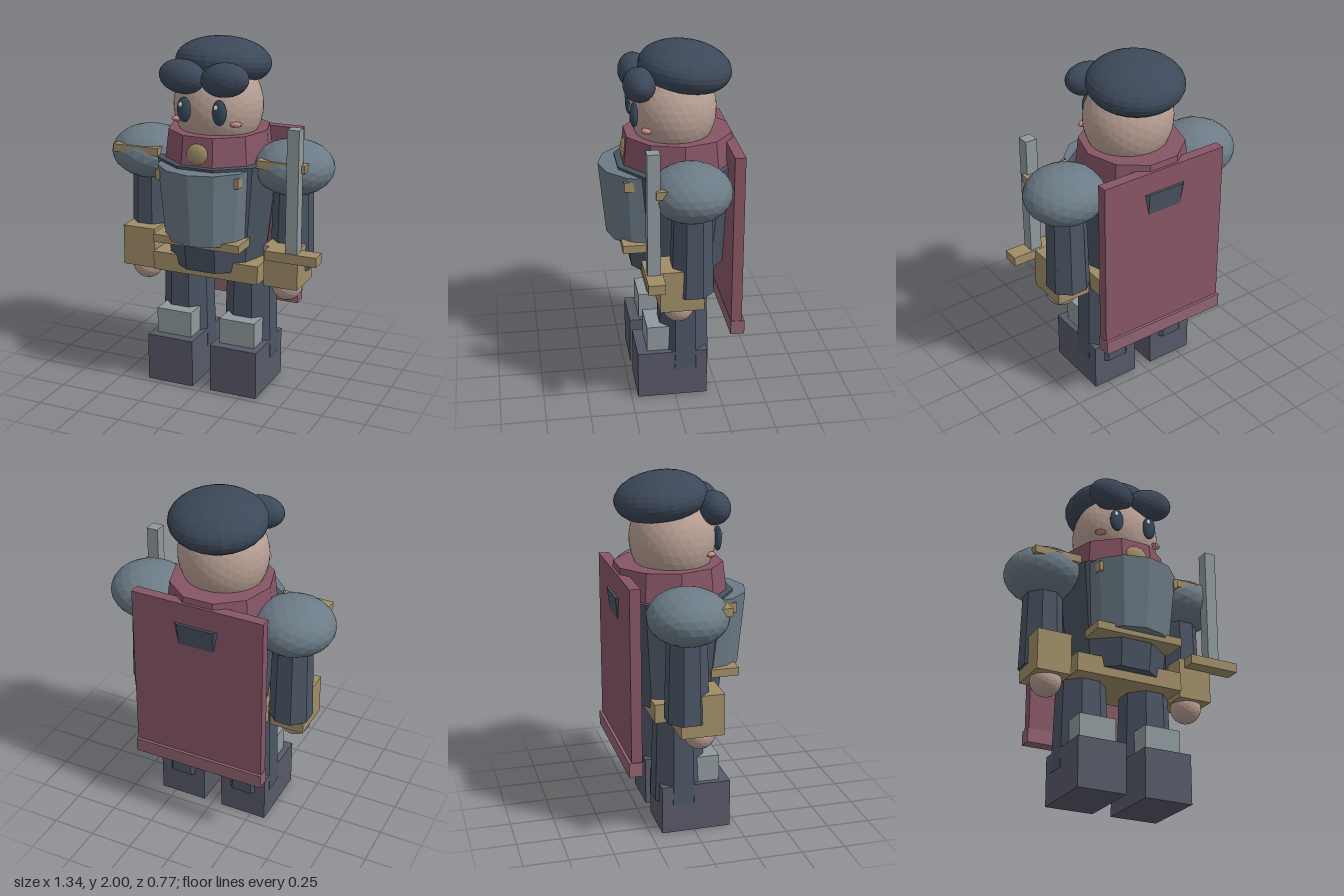
import * as THREE from 'three';

const C = {
  hair: 0x3c4859, skin: 0xb89f94, steel: 0x6c7b86, torso: 0x4a5462, limb: 0x4c5565, boot: 0x575968,
  gold: 0xa08d68, cape: 0x875565, hem: 0x8f6370, blade: 0x8f999d, eye: 0x34495a, white: 0xe8ecee, cheek: 0xc08a88,
};
const mats = {};
const mat = (name) => (mats[name] ??= new THREE.MeshStandardMaterial({
  color: C[name], flatShading: true, side: name === 'hair' ? THREE.DoubleSide : THREE.FrontSide,
}));

export function createModel() {
  const model = new THREE.Group();
  model.name = 'toyKnight';

  const add = (name, geometry, color, pos) => {
    const mesh = new THREE.Mesh(geometry, mat(color));
    mesh.name = name;
    mesh.position.set(...pos);
    model.add(mesh);
    return mesh;
  };
  // Box given by its extents on each axis
  const box = (name, color, [x0, x1], [y0, y1], [z0, z1]) =>
    add(name, new THREE.BoxGeometry(x1 - x0, y1 - y0, z1 - z0), color,
      [(x0 + x1) / 2, (y0 + y1) / 2, (z0 + z1) / 2]);
  // Faceted ellipsoid
  const ball = (name, color, pos, radii, detail = 3) =>
    add(name, new THREE.IcosahedronGeometry(1, detail).scale(...radii), color, pos);
  // Tapered prism between two heights
  const prism = (name, color, [x, z], [y0, y1], rTop, rBottom, sides, turn = 0, scaleX = 1) =>
    add(name, new THREE.CylinderGeometry(rTop, rBottom, y1 - y0, sides).rotateY(turn).scale(scaleX, 1, 1),
      color, [x, (y0 + y1) / 2, z]);

  // Head and hair
  ball('head', 'skin', [0, 1.63, -0.035], [0.253, 0.27, 0.24], 5);
  const cap = add('hairCap', new THREE.SphereGeometry(1, 24, 12, 0, Math.PI * 2, 0, Math.PI * 0.71)
    .scale(0.272, 0.14, 0.258), 'hair', [0, 1.858, -0.1]);
  cap.rotation.x = -0.13;

  // Body
  prism('torso', 'torso', [0, -0.05], [0.72, 1.34], 0.352, 0.277, 10, Math.PI / 10);
  prism('chestPlate', 'steel', [0, 0.105], [0.91, 1.325], 0.28, 0.24, 12);
  prism('collar', 'cape', [-0.005, -0.06], [1.335, 1.5], 0.306, 0.326, 10, Math.PI / 10, 0.93);
  ball('brooch', 'gold', [-0.005, 1.4, 0.23], [0.07, 0.065, 0.03], 2);
  box('waistTrim', 'gold', [-0.262, 0.257], [0.882, 0.928], [0.12, 0.278]);
  box('belt', 'gold', [-0.322, 0.32], [0.67, 0.778], [-0.22, 0.158]);

  // Cape
  box('cape', 'cape', [-0.393, 0.387], [0.44, 1.465], [-0.37, -0.31]);
  box('capeHem', 'hem', [-0.4, 0.39], [0.4, 0.482], [-0.386, -0.308]);

  // Paired parts
  for (const [side, s] of [['left', 1], ['right', -1]]) {
    const n = (part) => side + part;
    const ax = s * 0.438;
    const lx = s * 0.197;

    const lock = ball(n('FringeLock'), 'hair', [s * 0.125, 1.81, 0.165], [0.137, 0.094, 0.088]);
    lock.rotation.z = s * 0.1;
    ball(n('Eye'), 'eye', [s * 0.105, 1.635, 0.193], [0.041, 0.07, 0.022]);
    ball(n('EyeGlint'), 'white', [s * 0.105 - 0.012, 1.665, 0.21], [0.011, 0.016, 0.008], 1);
    const cheek = ball(n('Cheek'), 'cheek', [s * 0.178, 1.565, 0.135], [0.034, 0.015, 0.025], 2);
    cheek.rotation.y = s * 0.5;

    // Arm
    ball(n('Pauldron'), 'steel', [ax, 1.31, -0.067], [0.23, 0.155, 0.223]);
    box(n('PauldronTrim'), 'gold', [ax - 0.14, ax + 0.14], [1.335, 1.38], [0.07, 0.137]);
    prism(n('Arm'), 'limb', [ax, -0.073], [0.73, 1.32], 0.108, 0.124, 8, Math.PI / 8);
    box(n('Cuff'), 'gold', [ax - 0.1, ax + 0.1], [0.655, 0.892], [-0.13, 0.112]);
    ball(n('Hand'), 'skin', [ax, 0.638, 0], [0.088, 0.088, 0.088]);

    // Strap buckle on the chest
    box(n('Buckle'), 'gold', [s * 0.235 - 0.012, s * 0.235 + 0.012], [1.245, 1.3], [0.21, 0.265]);

    // Leg
    prism(n('Leg'), 'limb', [lx, -0.06], [0.17, 0.74], 0.138, 0.156, 8, Math.PI / 8);
    box(n('Boot'), 'boot', [lx - 0.141, lx + 0.141], [0, 0.28], [-0.185, 0.212]);
    box(n('ShinGuard'), 'blade', [lx - 0.107, lx + 0.107], [0.27, 0.43], [0.015, 0.155]);
  }

  // Sword
  box('swordBlade', 'blade', [0.49, 0.558], [0.88, 1.58], [0.112, 0.182]);
  box('swordGuard', 'gold', [0.372, 0.672], [0.838, 0.893], [0.1, 0.192]);

  return model;
}
